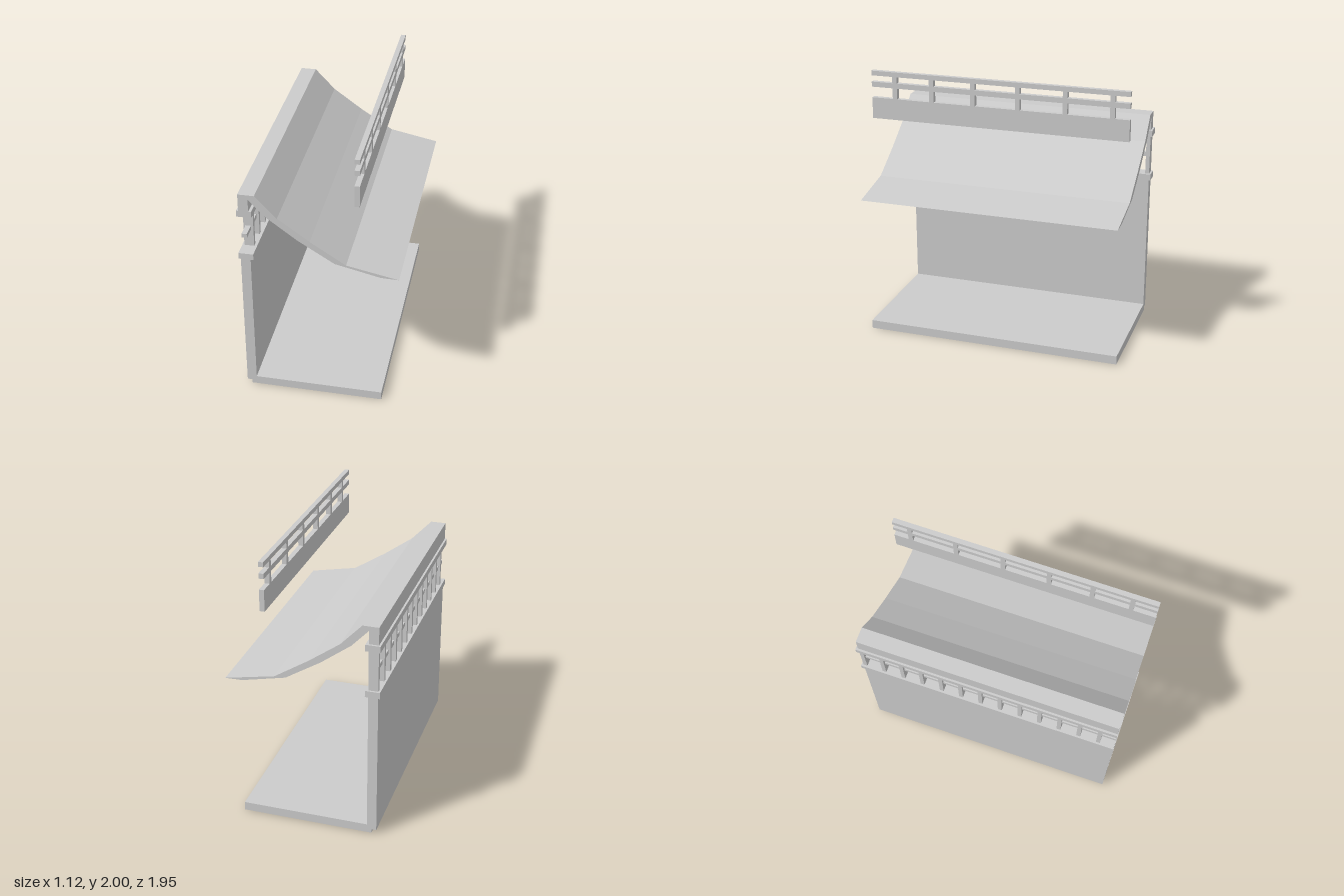
import * as THREE from 'three';

const FRONT = 0.97, BACK = -0.96;

export function createModel() {
  const model = new THREE.Group();
  const material = new THREE.MeshStandardMaterial({ color: 0xcccccc, flatShading: true });

  // Box given by its limits on each axis
  function box(parent, name, x0, x1, y0, y1, z0 = BACK, z1 = FRONT) {
    const mesh = new THREE.Mesh(new THREE.BoxGeometry(x1 - x0, y1 - y0, z1 - z0), material);
    mesh.position.set((x0 + x1) / 2, (y0 + y1) / 2, (z0 + z1) / 2);
    mesh.name = name;
    parent.add(mesh);
  }

  function group(name) {
    const g = new THREE.Group();
    g.name = name;
    model.add(g);
    return g;
  }

  box(model, 'floor', -0.515, 0.45, 0, 0.065);
  box(model, 'wall', -0.55, -0.48, 0.03, 1.13);

  // Slatted window strip: sill, lintel, horizontal bar, slats with an end post at the back
  const windowStrip = group('windowStrip');
  box(windowStrip, 'sill', -0.565, -0.46, 1.115, 1.162, -0.975, FRONT);
  box(windowStrip, 'lintel', -0.565, -0.46, 1.462, 1.51, -0.975, FRONT);
  box(windowStrip, 'crossBar', -0.535, -0.498, 1.295, 1.327);
  const slats = 13;
  for (let i = 0; i < slats; i++) {
    const z = BACK + 0.015 + i * (0.85 - BACK - 0.015) / (slats - 1);
    box(windowStrip, i === 0 ? 'endPost' : 'slat', -0.55, -0.48, 1.15, 1.47, z - 0.015, z + 0.015);
  }

  // Sagging roof joined to the top beam, one section run along z
  const section = [
    [-0.55, 1.5], [-0.48, 1.5], [-0.48, 1.607], [-0.36, 1.48], [-0.145, 1.32],
    [0.11, 1.162], [0.43, 1.09], [0.555, 1.088], [0.19, 1.16], [-0.06, 1.32],
    [-0.283, 1.48], [-0.435, 1.64], [-0.55, 1.64],
  ].map(([x, y]) => new THREE.Vector2(x, y));
  const roof = new THREE.Mesh(
    new THREE.ExtrudeGeometry(new THREE.Shape(section), { depth: FRONT - BACK, bevelEnabled: false }),
    material
  );
  roof.position.z = BACK;
  roof.name = 'roof';
  model.add(roof);

  // Railing above the roof
  const railing = group('railing');
  const x0 = 0.245, x1 = 0.281;
  box(railing, 'railingBoard', x0, x1, 1.642, 1.8);
  box(railing, 'middleRail', x0, x1, 1.88, 1.918);
  box(railing, 'topRail', x0, x1, 1.965, 2);
  for (const z of [0.79, 0.505, 0.19, -0.147, -0.495, -0.835]) {
    box(railing, 'railingPost', x0, x1, 1.8, 1.965, z - 0.017, z + 0.017);
  }

  return model;
}
